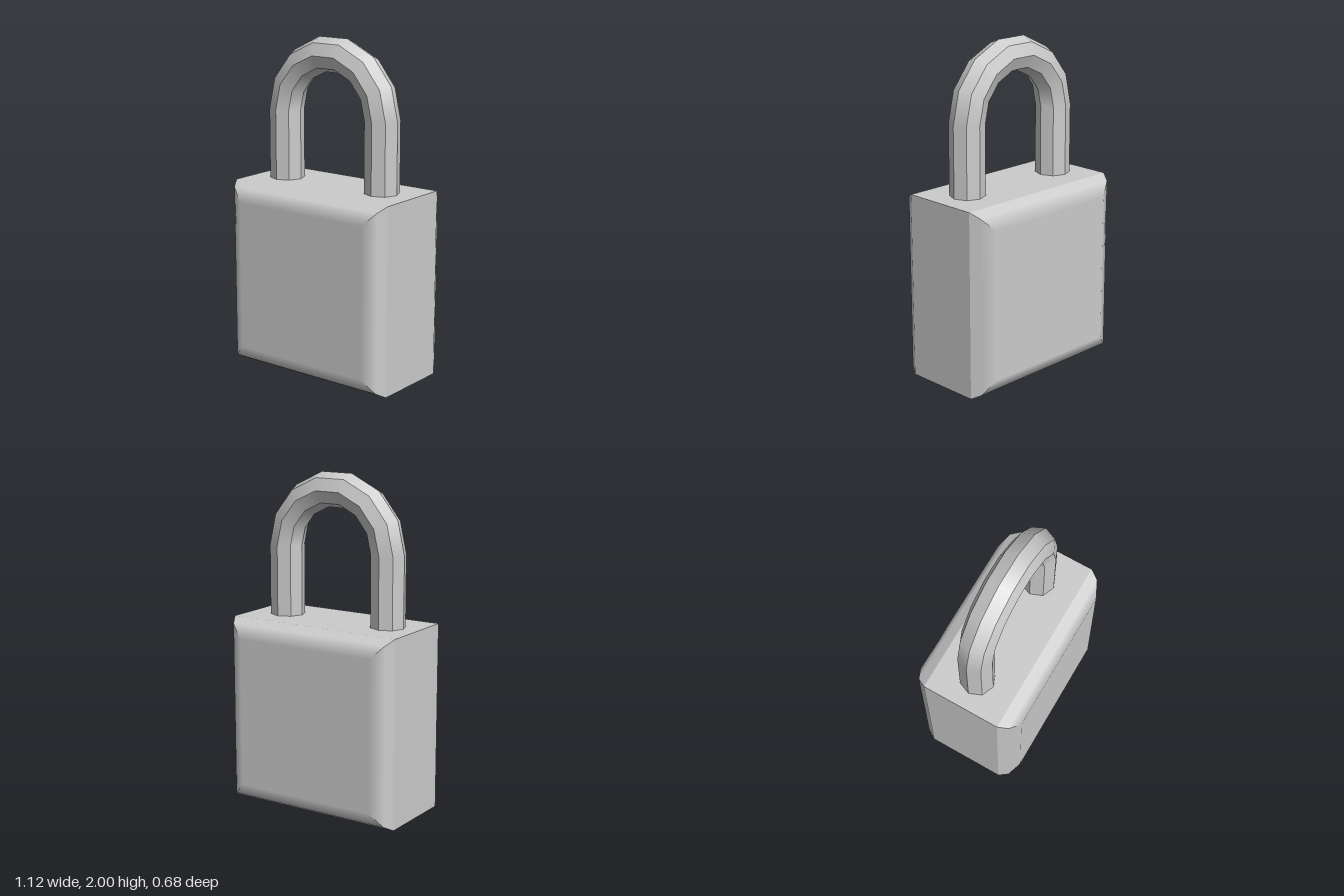
import * as THREE from 'three';

const V = (x, y, z) => new THREE.Vector3(x, y, z);

// Collects quads with chosen corner normals; the winding follows the normals.
class QuadBuilder {
  constructor() { this.pos = []; this.nor = []; }
  add(p, n) {
    const face = p[2].clone().sub(p[0]).cross(p[3].clone().sub(p[1]));
    const order = face.dot(n[0].clone().add(n[2])) > 0 ? [0, 1, 2, 0, 2, 3] : [0, 2, 1, 0, 3, 2];
    for (const i of order) {
      this.pos.push(...p[i].toArray());
      this.nor.push(...n[i].toArray());
    }
  }
  build() {
    const g = new THREE.BufferGeometry();
    g.setAttribute('position', new THREE.Float32BufferAttribute(this.pos, 3));
    g.setAttribute('normal', new THREE.Float32BufferAttribute(this.nor, 3));
    return g;
  }
}

const W = 0.5625, H = 1.13, MID = H / 2;
const SLOT = { w: 0.2, d: 0.1, h: 0.06 };

// Block with two-step bevels round its front and back faces
function bodyGeometry() {
  const q = new QuadBuilder();
  const ring = (z, inset) => [[1, 1], [-1, 1], [-1, -1], [1, -1]].map(
    ([sx, sy]) => V(sx * (W - inset), MID + sy * (MID - inset), z));
  const sides = [V(0, 1, 0), V(-1, 0, 0), V(0, -1, 0), V(1, 0, 0)];
  for (const s of [1, -1]) {
    const a = ring(s * 0.243, 0), b = ring(s * 0.3, 0.032), c = ring(s * 0.342, 0.112);
    const zn = V(0, 0, s);
    sides.forEach((side, i) => {
      const j = (i + 1) % 4;
      const bn = side.clone().multiplyScalar(0.057).addScaledVector(zn, 0.032).normalize();
      q.add([a[i], a[j], b[j], b[i]], [bn, bn, bn, bn]);
      q.add([b[i], b[j], c[j], c[i]], [bn, bn, zn, zn]);
    });
    q.add(c, [zn, zn, zn, zn]);
  }
  // Flat top and sides; the underside is a separate panel with a hole
  const f = ring(0.243, 0), k = ring(-0.243, 0);
  sides.forEach((side, i) => {
    if (i === 2) return;
    const j = (i + 1) % 4;
    q.add([f[i], f[j], k[j], k[i]], [side, side, side, side]);
  });
  return q.build();
}

// Eight-sided bar: straight legs joined by a seven-segment half circle
function shackleGeometry() {
  const q = new QuadBuilder();
  const R = 0.355, r = 0.105, baseY = 1.12, archY = 1.553, segs = 7;
  const rings = [{ t: 0, y: baseY }];
  for (let i = 0; i <= segs; i++) rings.push({ t: (i / segs) * Math.PI, y: archY });
  rings.push({ t: Math.PI, y: baseY });
  const point = ({ t, y }, a) => {
    const d = R + r * Math.cos(a);
    return V(d * Math.cos(t), y + d * Math.sin(t), r * Math.sin(a));
  };
  const normal = ({ t }, a) => V(Math.cos(a) * Math.cos(t), Math.cos(a) * Math.sin(t), Math.sin(a));
  for (let i = 0; i < rings.length - 1; i++) {
    for (let k = 0; k < 8; k++) {
      const a = (k * Math.PI) / 4, b = a + Math.PI / 4, m = (a + b) / 2;
      const u = rings[i], v = rings[i + 1], nu = normal(u, m), nv = normal(v, m);
      q.add([point(u, a), point(u, b), point(v, b), point(v, a)], [nu, nu, nv, nv]);
    }
  }
  return q.build();
}

function rectangle(path, w, d) {
  path.moveTo(-w, -d);
  path.lineTo(w, -d);
  path.lineTo(w, d);
  path.lineTo(-w, d);
  path.closePath();
  return path;
}

export function createModel() {
  const group = new THREE.Group();
  group.name = 'padlock';
  const grey = new THREE.MeshStandardMaterial({ color: 0xcccccc });
  const inside = new THREE.MeshStandardMaterial({ color: 0xcccccc, side: THREE.BackSide });
  const add = (name, geometry, material = grey) => {
    const mesh = new THREE.Mesh(geometry, material);
    mesh.name = name;
    group.add(mesh);
    return mesh;
  };

  add('body', bodyGeometry());

  // Underside with the key slot cut out
  const panel = rectangle(new THREE.Shape(), W, 0.243);
  panel.holes.push(rectangle(new THREE.Path(), SLOT.w / 2, SLOT.d / 2));
  add('underside', new THREE.ShapeGeometry(panel).rotateX(Math.PI / 2));

  // Recess of the key slot, seen from its inner faces
  add('keySlot', new THREE.BoxGeometry(SLOT.w, SLOT.h, SLOT.d), inside).position.y = SLOT.h / 2;

  add('shackle', shackleGeometry()).position.x = -0.01;
  return group;
}
